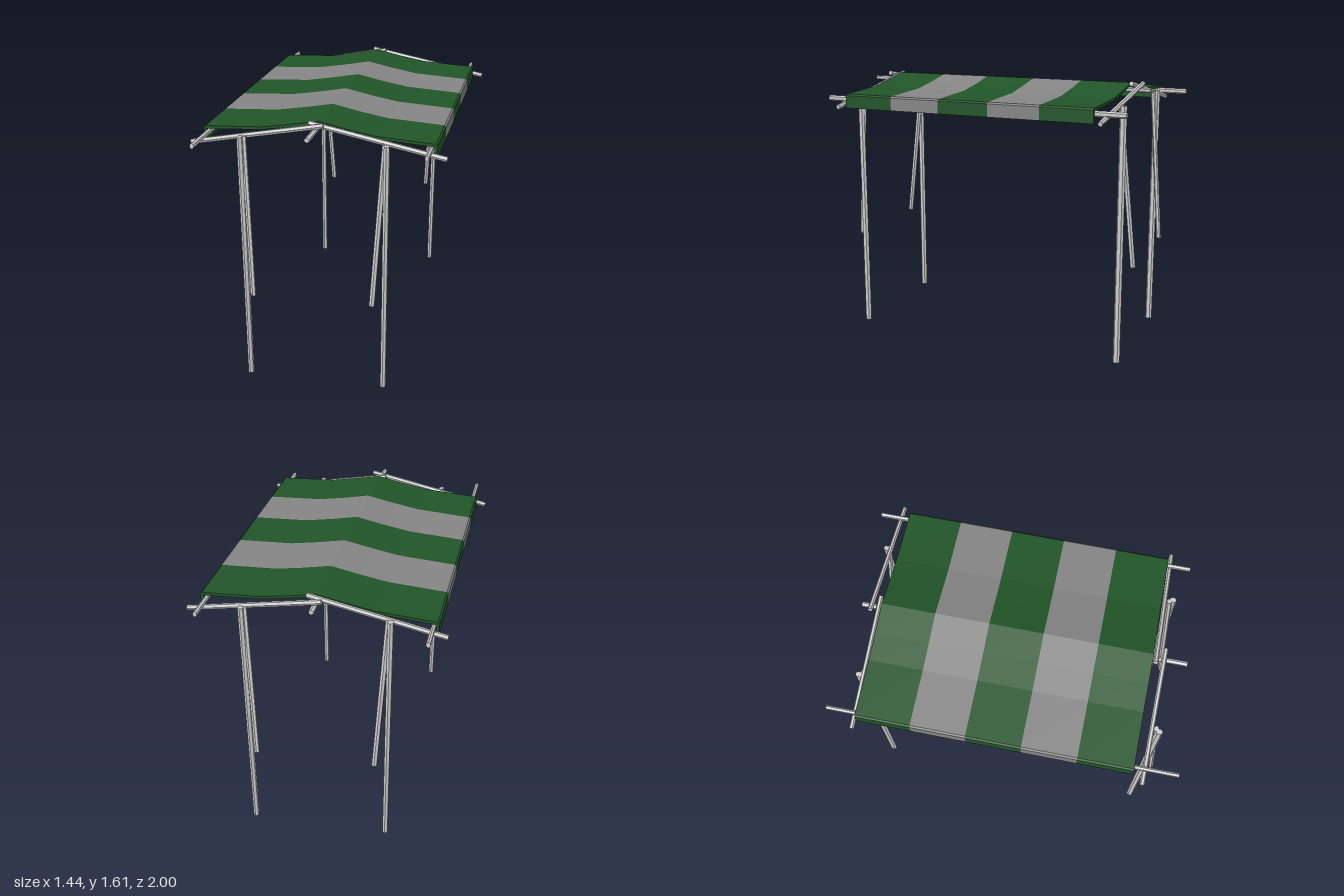
import * as THREE from 'three';

const pole = new THREE.MeshStandardMaterial({ color: 0xcccccc, flatShading: true });
const green = new THREE.MeshStandardMaterial({ color: 0x215528, flatShading: true });
const grey = new THREE.MeshStandardMaterial({ color: 0x858585, flatShading: true });

// Six-sided pole from a to b; w and d are its widths across local x and z
function rod(name, a, b, w, d) {
  const start = new THREE.Vector3(...a), end = new THREE.Vector3(...b);
  const dir = end.clone().sub(start);
  const geo = new THREE.CylinderGeometry(1, 1, dir.length(), 6);
  geo.scale(w / Math.sqrt(3), 1, d / 2);
  const mesh = new THREE.Mesh(geo, pole);
  mesh.name = name;
  mesh.position.copy(start).add(end).multiplyScalar(0.5);
  mesh.quaternion.setFromUnitVectors(new THREE.Vector3(0, 1, 0), dir.normalize());
  return mesh;
}

// Canopy cross-section: sagging ridge roof with a short flap on each side
function canopyShape() {
  const outer = [
    [-0.665, 1.442], [-0.665, 1.515], [-0.655, 1.524], [-0.33, 1.543], [-0.17, 1.57], [0, 1.603],
    [0.16, 1.57], [0.32, 1.543], [0.645, 1.526], [0.655, 1.517], [0.655, 1.442],
  ];
  const inner = [
    [0.638, 1.442], [0.638, 1.509], [0.32, 1.527], [0.16, 1.554], [0, 1.587],
    [-0.17, 1.554], [-0.33, 1.527], [-0.648, 1.507], [-0.648, 1.442],
  ];
  return new THREE.Shape([...outer, ...inner].map(([x, y]) => new THREE.Vector2(x, y)));
}

export function createModel() {
  const model = new THREE.Group();
  model.name = 'stallCanopy';

  // Striped canopy
  const canopy = new THREE.Group();
  canopy.name = 'canopy';
  const shape = canopyShape(), stripe = 0.315;
  for (let i = 0; i < 5; i++) {
    const geo = new THREE.ExtrudeGeometry(shape, { depth: stripe, bevelEnabled: false });
    const mesh = new THREE.Mesh(geo, i % 2 ? grey : green);
    mesh.name = i % 2 ? 'greyStripe' : 'greenStripe';
    mesh.position.z = -0.825 + i * stripe;
    canopy.add(mesh);
  }
  model.add(canopy);

  // Front and back frames: each half has a post, a leaning brace and a rafter
  const frames = [
    { name: 'front', out: 1, right: 0.855, left: 0.815 },
    { name: 'back', out: -1, right: -0.865, left: -0.907 },
  ];
  for (const f of frames) {
    const frame = new THREE.Group();
    frame.name = f.name + 'Frame';
    const zr = f.right, zl = f.left, o = f.out;
    const rr = o > 0 ? 0.812 : -0.84, rl = o > 0 ? 0.768 : -0.883;
    frame.add(
      rod('rightPost', [-0.415, 0, zr], [-0.415, 1.515, zr], 0.03, 0.043),
      rod('leftPost', [0.395, 0, zl], [0.395, 1.515, zl], 0.03, 0.043),
      rod('rightBrace', [-0.4, 1.515, zr - o * 0.02], [-0.354, 0.575, zr + o * 0.065], 0.025, 0.035),
      rod('leftBrace', [0.382, 1.515, zl - o * 0.02], [0.336, 0.575, zl + o * 0.065], 0.025, 0.035),
      rod('rightRafter', [-0.717, 1.447, rr], [0.047, 1.6, rr], 0.027, 0.028),
      rod('leftRafter', [-0.048, 1.595, rl], [0.713, 1.453, rl], 0.027, 0.028),
    );
    model.add(frame);
  }

  // Lengthwise poles under the ridge and the eaves
  model.add(
    rod('ridgePole', [-0.007, 1.56, -0.943], [-0.007, 1.56, 0.947], 0.027, 0.028),
    rod('rightEavePole', [-0.635, 1.493, -1], [-0.635, 1.493, 1], 0.022, 0.035),
    rod('leftEavePole', [0.621, 1.493, -1], [0.621, 1.493, 0.888], 0.022, 0.035),
  );
  return model;
}
